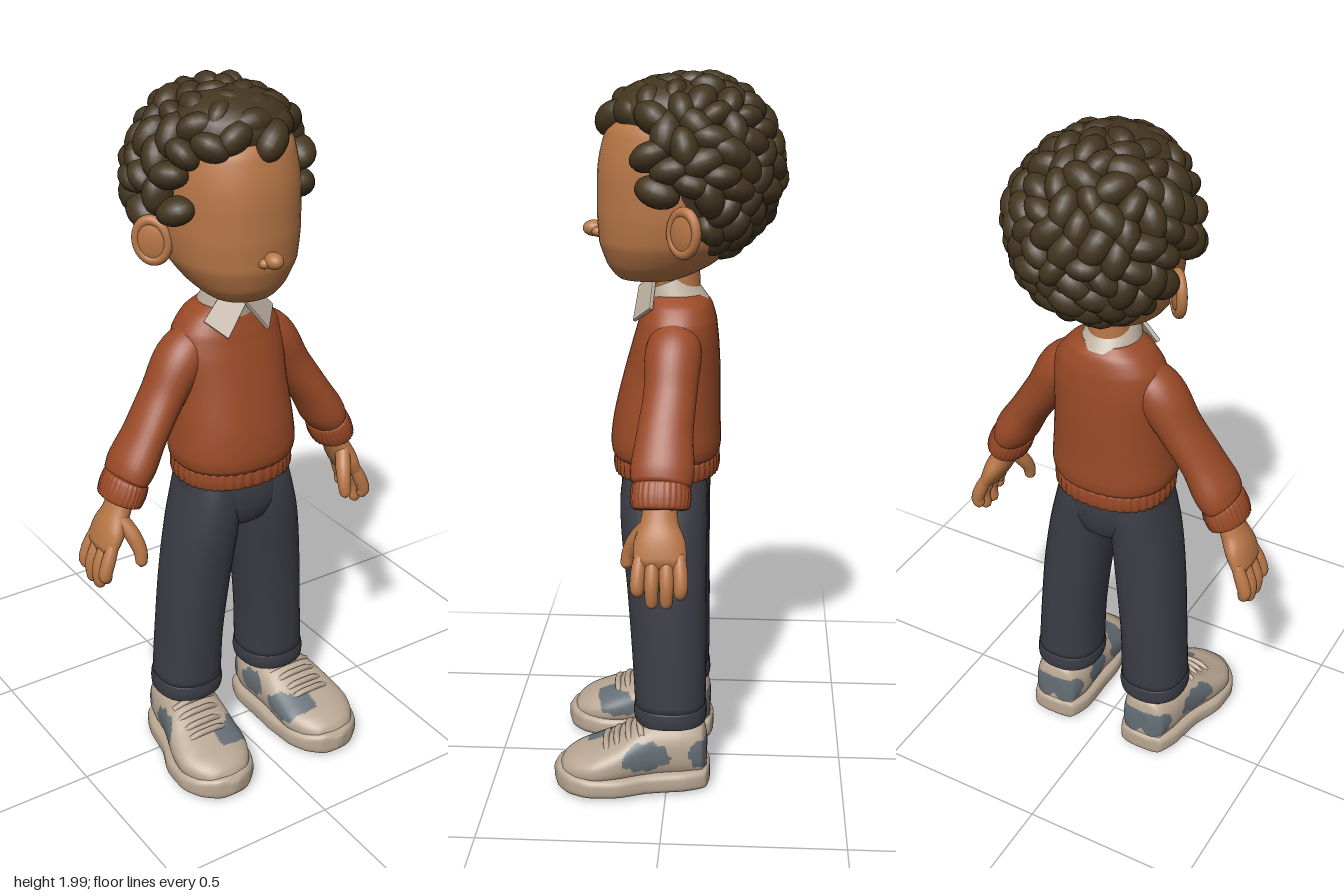
import * as THREE from 'three';
import { mergeGeometries } from 'three/addons/utils/BufferGeometryUtils.js';

const V = (x, y, z) => new THREE.Vector3(x, y, z);
const Y = V(0, 1, 0);
const paint = (name, color) => Object.assign(new THREE.MeshStandardMaterial({ color }), { name });

// Smooth closed skin through rows [x, y, z, ru, rv]; u is the ru direction.
// With a fixed axis every section is parallel, otherwise it follows the path.
function loft(rows, { u = V(1, 0, 0), axis = null, n = 2, seg = 32, sub = 6, ribs = 0 } = {}) {
  const path = new THREE.CatmullRomCurve3(rows.map(r => V(r[0], r[1], r[2])));
  const size = new THREE.CatmullRomCurve3(rows.map(r => V(r[3], r[4], 0)));
  const count = (rows.length - 1) * sub, pos = [], idx = [];
  const pow = c => Math.sign(c) * Math.abs(c) ** (2 / n);
  for (let i = 0; i <= count; i++) {
    const t = i / count, c = path.getPoint(t), r = size.getPoint(t);
    const T = axis || path.getTangent(t);
    const U = u.clone().addScaledVector(T, -u.dot(T)).normalize();
    const W = U.clone().cross(T);
    for (let j = 0; j < seg; j++) {
      const a = j / seg * Math.PI * 2, k = 1 + (ribs ? 0.018 * Math.cos(a * ribs) : 0);
      const p = c.clone().addScaledVector(U, Math.max(r.x, 0.001) * k * pow(Math.cos(a)))
        .addScaledVector(W, Math.max(r.y, 0.001) * k * pow(Math.sin(a)));
      pos.push(p.x, p.y, p.z);
    }
  }
  for (let i = 0; i < count; i++) for (let j = 0; j < seg; j++) {
    const a = i * seg + j, b = i * seg + (j + 1) % seg;
    idx.push(a, a + seg, b, b, a + seg, b + seg);
  }
  // end caps
  const first = path.getPoint(0), last = path.getPoint(1), m = pos.length / 3, top = count * seg;
  pos.push(first.x, first.y, first.z, last.x, last.y, last.z);
  for (let j = 0; j < seg; j++) {
    const k = (j + 1) % seg;
    idx.push(m, j, k, m + 1, top + k, top + j);
  }
  const g = new THREE.BufferGeometry();
  g.setAttribute('position', new THREE.Float32BufferAttribute(pos, 3));
  g.setIndex(idx);
  g.computeVertexNormals();
  return g;
}
// Upright body from rows [y, z, rx, rz] centred on x = 0
const body = (rows, opt) => loft(rows.map(([y, z, rx, rz]) => [0, y, z, rx, rz]), { axis: Y, ...opt });
const ball = (x, y, z, rx, ry, rz, ws = 24, hs = 16) => new THREE.SphereGeometry(1, ws, hs).scale(rx, ry, rz).translate(x, y, z);

function mirrored(geo) {
  const g = geo.clone().scale(-1, 1, 1);
  const src = g.index ? [...g.index.array] : Array.from({ length: g.attributes.position.count }, (_, i) => i);
  for (let i = 0; i < src.length; i += 3) [src[i + 1], src[i + 2]] = [src[i + 2], src[i + 1]];
  return g.setIndex(src);
}

// Divide a geometry into faces that pass the test and those that do not
function splitFaces(geo, test) {
  const p = geo.attributes.position, src = geo.index.array, yes = [], no = [];
  for (let i = 0; i < src.length; i += 3) {
    const f = [src[i], src[i + 1], src[i + 2]], c = V(0, 0, 0);
    f.forEach(k => c.add(V(p.getX(k), p.getY(k), p.getZ(k))));
    (test(c.divideScalar(3)) ? yes : no).push(...f);
  }
  return [yes, no].map(list => geo.clone().setIndex(list));
}

// Lumpy curls spread over the scalp, leaving the face and ears free
function curls() {
  let seed = 11;
  const rnd = () => (seed = (seed * 16807) % 2147483647) / 2147483647;
  const list = [], N = 165;
  for (let i = 0; i < N; i++) {
    const h = 1 - 2 * (i + 0.5) / N, a = i * 2.39996, r = Math.sqrt(1 - h * h);
    const d = V(r * Math.cos(a), h, r * Math.sin(a));
    const k = 0.98 + 0.05 * rnd(), spin = rnd() * Math.PI, s = 0.9 + 0.25 * rnd();
    const p = V(d.x * 0.212 * k, 1.735 + d.y * 0.213 * k, -0.06 + d.z * (d.z > 0 ? 0.265 : 0.205) * k);
    const limit = p.z > 0.05 ? 1.855 : p.z > 0 ? 1.69 : p.z > -0.1 ? 1.71 : 1.48;
    if (p.y < limit) continue;
    const q = new THREE.Quaternion().setFromUnitVectors(V(0, 0, 1), d)
      .multiply(new THREE.Quaternion().setFromAxisAngle(V(0, 0, 1), spin));
    list.push(new THREE.SphereGeometry(1, 16, 12)
      .applyMatrix4(new THREE.Matrix4().compose(p, q, V(0.056 * s, 0.037 * s, 0.046))));
  }
  return mergeGeometries(list);
}

export function createModel() {
  const root = new THREE.Group();
  root.name = 'boy';
  const skin = paint('skin', 0xb87747), hair = paint('hair', 0x43351f), wool = paint('sweater', 0x9a4a27);
  const denim = paint('trousers', 0x3c3c46), linen = paint('collar', 0xbfb2a2);
  const leather = paint('shoe', 0xb9a793), grey = paint('shoePatch', 0x656f76);
  linen.side = THREE.DoubleSide;
  const add = (name, geo, mat) => {
    const m = new THREE.Mesh(geo, mat);
    m.name = name;
    root.add(m);
  };
  const pair = (name, geo, mat) => {
    add(name + 'Left', geo, mat);
    add(name + 'Right', mirrored(geo), mat);
  };

  // Head, nose, neck and ears
  add('head', body([[1.432, 0.06, 0.03, 0.03], [1.442, 0.055, 0.085, 0.085], [1.48, 0.03, 0.128, 0.142],
    [1.54, 0.005, 0.165, 0.188], [1.62, -0.015, 0.18, 0.213], [1.74, -0.03, 0.184, 0.225],
    [1.84, -0.04, 0.172, 0.212], [1.91, -0.05, 0.12, 0.15], [1.935, -0.05, 0.03, 0.03]], { n: 2.2, seg: 48 }), skin);
  add('nose', ball(0, 1.572, 0.208, 0.024, 0.022, 0.03), skin);
  add('nostrils', mergeGeometries([-1, 1].map(s => ball(s * 0.02, 1.565, 0.195, 0.016, 0.014, 0.017))), skin);
  add('neck', new THREE.CylinderGeometry(0.058, 0.066, 0.16, 28).translate(0, 1.41, -0.02), skin);
  const placeEar = g => g.rotateX(-0.12).rotateY(-0.7).translate(0.207, 1.592, -0.045);
  pair('ear', placeEar(ball(0, 0, 0, 0.016, 0.06, 0.048)), skin);
  pair('earRim', placeEar(new THREE.TorusGeometry(0.05, 0.014, 12, 32).rotateY(Math.PI / 2).scale(1, 1.08, 0.88)), skin);

  // Hair
  add('curls', curls(), hair);
  add('hairCap', mergeGeometries([ball(0, 1.72, -0.1, 0.2, 0.215, 0.185), ball(0, 1.88, 0.0, 0.165, 0.095, 0.16)]), hair);

  // Shirt collar: tilted band and two front points
  add('collarBand', new THREE.CylinderGeometry(0.068, 0.092, 0.085, 40, 1, true).rotateX(0.35).translate(0, 1.395, -0.004), linen);
  const flap = new THREE.Shape([[0.006, 0.012], [0.055, 0.055], [0.112, -0.03], [0.052, -0.075]].map(p => new THREE.Vector2(...p)));
  pair('collarPoint', new THREE.ExtrudeGeometry(flap, { depth: 0.006, bevelSize: 0.003, bevelThickness: 0.003, bevelSegments: 2 })
    .rotateX(-0.45).rotateY(0.5).translate(0, 1.4, 0.087), linen);

  // Sweater
  add('sweaterBody', body([[0.94, 0.012, 0.16, 0.138], [0.96, 0.012, 0.176, 0.15], [0.99, 0.012, 0.181, 0.153],
    [1.06, 0.009, 0.175, 0.148], [1.18, -0.005, 0.165, 0.133], [1.27, -0.015, 0.165, 0.118],
    [1.33, -0.02, 0.152, 0.106], [1.375, -0.02, 0.118, 0.092], [1.4, -0.015, 0.08, 0.075]], { n: 2.25, seg: 48 }), wool);
  add('sweaterHem', body([[0.895, 0.01, 0.155, 0.13], [0.9, 0.01, 0.166, 0.142], [0.925, 0.01, 0.17, 0.146],
    [0.95, 0.01, 0.168, 0.144], [0.958, 0.01, 0.155, 0.13]], { n: 2.25, seg: 160, sub: 3, ribs: 40 }), wool);
  const limb = { u: V(0, 0, 1) };
  pair('sleeve', loft([[0.07, 1.315, -0.02, 0.06, 0.055], [0.145, 1.255, -0.015, 0.076, 0.07], [0.21, 1.16, -0.01, 0.071, 0.058],
    [0.27, 1.07, 0, 0.075, 0.055], [0.315, 0.995, 0.003, 0.084, 0.06], [0.335, 0.962, 0.004, 0.08, 0.054],
    [0.343, 0.95, 0.005, 0.066, 0.044]], limb), wool);
  pair('cuff', loft([[0.333, 0.962, 0.006, 0.066, 0.046], [0.336, 0.956, 0.006, 0.076, 0.057], [0.348, 0.927, 0.006, 0.079, 0.06],
    [0.36, 0.901, 0.006, 0.075, 0.056], [0.362, 0.896, 0.006, 0.062, 0.045]], { ...limb, seg: 120, sub: 3, ribs: 30 }), wool);

  // Hands
  pair('palm', loft([[0.347, 0.925, 0.005, 0.04, 0.033], [0.372, 0.865, 0.008, 0.05, 0.034], [0.397, 0.815, 0.006, 0.068, 0.033],
    [0.415, 0.775, 0.004, 0.068, 0.026], [0.422, 0.756, 0.004, 0.05, 0.012]], limb), skin);
  [[0.06, 0.685], [0.024, 0.655], [-0.014, 0.655], [-0.05, 0.68]].forEach(([z, tip], i) =>
    pair('finger' + (i + 1), loft([[0.408, 0.795, z * 0.9, 0.016, 0.016], [0.43, 0.745, z, 0.0195, 0.02],
      [0.441, 0.71, z * 1.03, 0.0185, 0.019], [0.438, tip + 0.015, z, 0.017, 0.018], [0.434, tip + 0.003, z, 0.011, 0.011],
      [0.433, tip, z, 0.002, 0.002]], { ...limb, seg: 16, sub: 4 }), skin));
  pair('thumb', loft([[0.378, 0.86, 0.035, 0.022, 0.022], [0.357, 0.815, 0.068, 0.023, 0.022], [0.346, 0.77, 0.09, 0.019, 0.019],
    [0.347, 0.738, 0.096, 0.016, 0.016], [0.349, 0.725, 0.096, 0.003, 0.003]], { ...limb, seg: 16 }), skin);

  // Trousers
  add('trouserSeat', body([[0.745, 0.012, 0.05, 0.07], [0.77, 0.012, 0.1, 0.105], [0.82, 0.013, 0.15, 0.122],
    [0.87, 0.012, 0.163, 0.125], [0.93, 0.01, 0.158, 0.12]], { n: 2.3 }), denim);
  pair('trouserLeg', loft([[0.146, 0.235, -0.008, 0.097, 0.1], [0.138, 0.4, -0.004, 0.093, 0.105], [0.12, 0.6, 0.004, 0.095, 0.112],
    [0.101, 0.75, 0.012, 0.092, 0.12], [0.087, 0.85, 0.013, 0.082, 0.121], [0.08, 0.92, 0.01, 0.072, 0.112]], { axis: Y, n: 2.3 }), denim);
  pair('trouserHem', loft([[0.147, 0.196, -0.009, 0.085, 0.088], [0.147, 0.2, -0.009, 0.098, 0.101], [0.146, 0.222, -0.008, 0.101, 0.104],
    [0.146, 0.245, -0.008, 0.099, 0.102], [0.146, 0.25, -0.008, 0.09, 0.094]], { axis: Y, n: 2.3 }), denim);
  pair('ankle', new THREE.CylinderGeometry(0.06, 0.06, 0.12, 24).translate(0.15, 0.19, -0.015), skin);

  // Shoes: sole, upper with grey patches, laces
  const along = { axis: V(0, 0, 1) };
  pair('sole', loft([[0.155, 0.036, -0.122, 0.03, 0.022], [0.155, 0.036, -0.112, 0.068, 0.033], [0.157, 0.036, -0.05, 0.094, 0.036],
    [0.166, 0.036, 0.05, 0.104, 0.036], [0.182, 0.036, 0.14, 0.121, 0.036], [0.187, 0.037, 0.21, 0.12, 0.037],
    [0.187, 0.038, 0.27, 0.096, 0.037], [0.185, 0.04, 0.307, 0.055, 0.034], [0.185, 0.041, 0.322, 0.01, 0.018]],
    { ...along, n: 3.6, seg: 48 }), leather);
  // rows of z, centre x, half width, top height
  const upper = loft([[-0.113, 0.155, 0.035, 0.15], [-0.1, 0.155, 0.066, 0.19], [-0.04, 0.156, 0.086, 0.207], [0.03, 0.163, 0.092, 0.207],
    [0.08, 0.172, 0.099, 0.192], [0.14, 0.181, 0.109, 0.158], [0.2, 0.186, 0.111, 0.132], [0.255, 0.187, 0.09, 0.113],
    [0.29, 0.186, 0.058, 0.092], [0.308, 0.185, 0.01, 0.065]].map(([z, x, w, top]) => [x, (top + 0.03) / 2, z, w, (top - 0.03) / 2]),
    { ...along, n: 2.4, seg: 96, sub: 12 });
  const spot = (p, z, y, rz, ry) => ((p.z - z) / rz) ** 2 + ((p.y - y) / ry) ** 2 < 1 + 0.18 * Math.sin(p.z * 150 + p.y * 90);
  const [patches, plain] = splitFaces(upper, p => p.x > 0.17
    ? spot(p, 0.055, 0.122, 0.066, 0.042) || spot(p, -0.11, 0.115, 0.045, 0.045)
    : spot(p, 0.165, 0.112, 0.06, 0.034) || spot(p, 0.02, 0.125, 0.05, 0.04) || spot(p, -0.11, 0.115, 0.045, 0.045));
  pair('shoeUpper', plain, leather);
  pair('shoePatches', patches, grey);
  [[0.075, 0.194], [0.108, 0.177], [0.14, 0.158], [0.17, 0.145]].forEach(([z, y], i) => {
    const x = 0.181 - (0.14 - z) * 0.14;
    const curve = new THREE.CatmullRomCurve3([V(x - 0.066, y - 0.018, z - 0.008), V(x - 0.035, y, z), V(x, y + 0.004, z + 0.003),
      V(x + 0.035, y, z), V(x + 0.066, y - 0.018, z - 0.008)]);
    pair('lace' + (i + 1), new THREE.TubeGeometry(curve, 20, 0.009, 8), leather);
  });
  return root;
}
